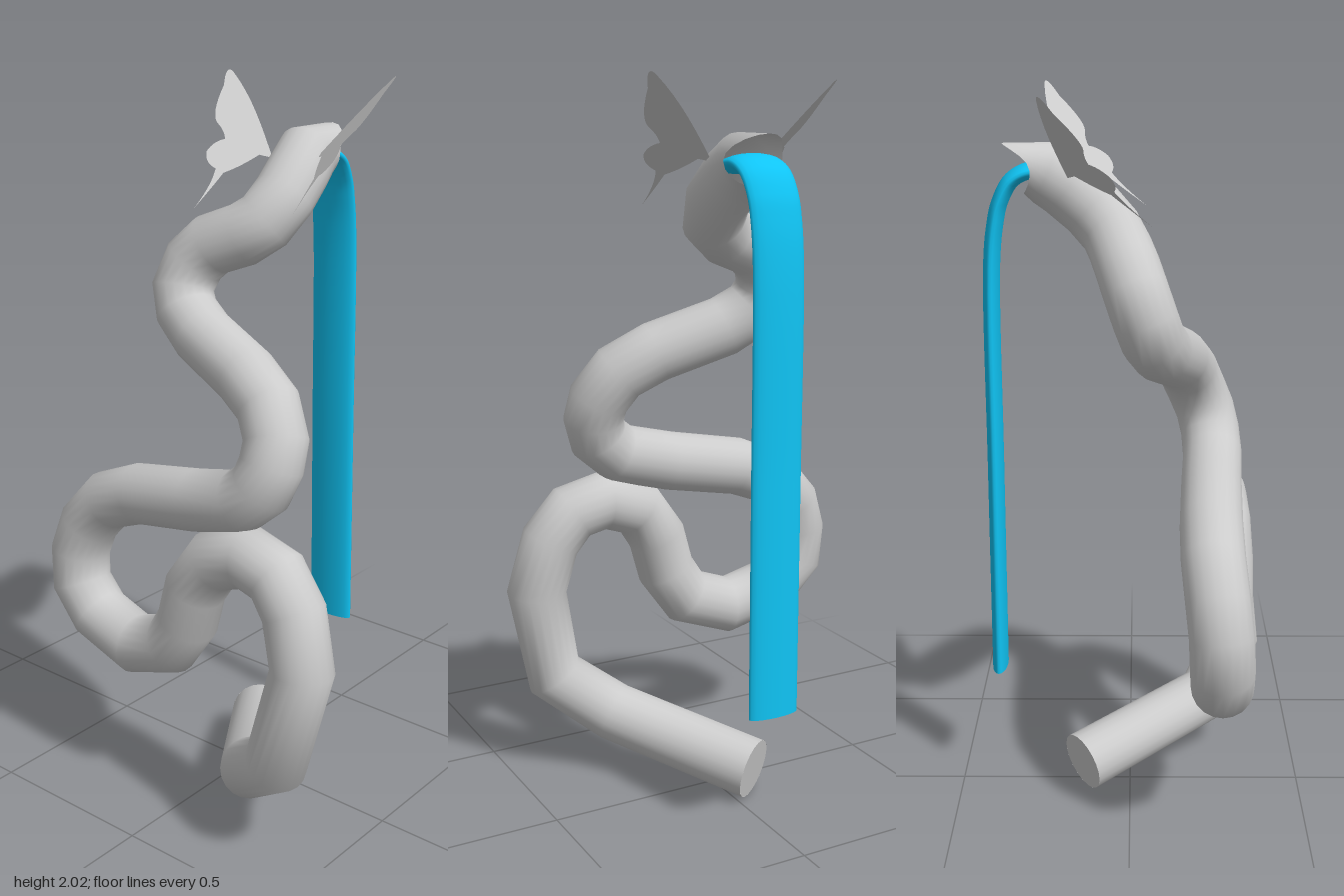
import * as THREE from 'three';
import { ParametricGeometry } from 'three/addons/geometries/ParametricGeometry.js';

const V = (x, y, z) => new THREE.Vector3(x, y, z);
const RADIUS = 0.086;

// Curve whose rings fall exactly on the control points
class RingCurve extends THREE.CatmullRomCurve3 {
  getPointAt(u, target) { return this.getPoint(u, target); }
  getTangentAt(u, target) { return this.getTangent(u, target); }
}

// Winding body, from tail tip to mouth
const bodyPath = [
  V(-0.055, 0.09, -0.14), V(0.21, 0.18, 0.235), V(0.365, 0.3, 0.32), V(0.425, 0.58, 0.29),
  V(0.385, 0.73, 0.275), V(0.32, 0.81, 0.265), V(0.22, 0.835, 0.26), V(0.11, 0.795, 0.265),
  V(0.045, 0.7, 0.27), V(0.015, 0.59, 0.27), V(-0.05, 0.495, 0.265), V(-0.19, 0.445, 0.26),
  V(-0.35, 0.49, 0.25), V(-0.425, 0.57, 0.245), V(-0.43, 0.67, 0.24), V(-0.4, 0.76, 0.23),
  V(-0.325, 0.845, 0.22), V(-0.2, 0.895, 0.22), V(0.02, 0.935, 0.23), V(0.18, 0.975, 0.24),
  V(0.245, 1.03, 0.235), V(0.265, 1.09, 0.22), V(0.26, 1.15, 0.195), V(0.21, 1.225, 0.165),
  V(0.11, 1.28, 0.135), V(-0.08, 1.345, 0.085), V(-0.16, 1.395, 0.06), V(-0.19, 1.455, 0.04),
  V(-0.17, 1.525, 0.015), V(-0.12, 1.575, -0.005), V(-0.03, 1.61, -0.025), V(0.025, 1.65, -0.05),
  V(0.045, 1.71, -0.105), V(0.04, 1.77, -0.175), V(0.03, 1.805, -0.225), V(0.03, 1.815, -0.265),
];

function bodyGeometry() {
  const rows = bodyPath.length - 1, sides = 20;
  const geo = new THREE.TubeGeometry(new RingCurve(bodyPath), rows, RADIUS, sides);
  const p = geo.attributes.position;
  // Open the last ring into a mouth with a longer upper lip
  for (let i = rows * (sides + 1); i < p.count; i++) {
    const t = (p.getY(i) - 1.815) / RADIUS;
    p.setZ(i, -0.26 - (t > 0 ? 0.085 : 0.025) * t * t);
    p.setY(i, 1.815 + t * 0.068);
  }
  return geo;
}

// Hanging ribbon tongue: flat oval section swept along a drooping path
function tongueGeometry() {
  const path = new THREE.CatmullRomCurve3([
    V(0.028, 1.8, -0.19), V(0.028, 1.81, -0.265), V(0.026, 1.785, -0.315), V(0.023, 1.73, -0.347),
    V(0.022, 1.67, -0.362), V(0.022, 1.56, -0.374), V(0.026, 1, -0.379), V(0.031, 0.37, -0.383),
  ]);
  return new ParametricGeometry((u, v, target) => {
    const a = u * Math.PI * 2;
    const c = path.getPoint(v), t = path.getTangent(v);
    const off = 0.022 * Math.sin(a);
    target.set(c.x + 0.074 * Math.cos(a), c.y - t.z * off, c.z + t.y * off);
  }, 20, 42);
}

// Butterfly wing: outline in x and z, lifted onto a slanting plane
function wingGeometry() {
  const s = new THREE.Shape();
  s.moveTo(0.07, -0.175);
  s.bezierCurveTo(0.13, -0.205, 0.19, -0.235, 0.26, -0.24);
  s.quadraticCurveTo(0.288, -0.24, 0.262, -0.2);
  s.quadraticCurveTo(0.25, -0.13, 0.225, -0.127);
  s.quadraticCurveTo(0.2, -0.128, 0.188, -0.116);
  s.quadraticCurveTo(0.208, -0.09, 0.208, -0.062);
  s.quadraticCurveTo(0.198, -0.04, 0.168, -0.052);
  s.quadraticCurveTo(0.154, -0.02, 0.159, 0.05);
  s.quadraticCurveTo(0.15, -0.02, 0.147, -0.06);
  s.quadraticCurveTo(0.122, -0.1, 0.1, -0.155);
  s.closePath();
  const geo = new THREE.ShapeGeometry(s, 8);
  const p = geo.attributes.position;
  for (let i = 0; i < p.count; i++) {
    const x = p.getX(i), z = p.getY(i);
    p.setXYZ(i, x, 1.83 + 0.82 * (x - 0.09) - 0.845 * (z + 0.18), z);
  }
  geo.computeVertexNormals();
  return geo;
}

export function createModel() {
  const group = new THREE.Group();
  const grey = new THREE.MeshStandardMaterial({ color: 0xcccccc, side: THREE.DoubleSide });
  const blue = new THREE.MeshStandardMaterial({ color: 0x10c4f4, side: THREE.DoubleSide });
  const add = (name, geo, mat) => {
    const mesh = new THREE.Mesh(geo, mat);
    mesh.name = name;
    group.add(mesh);
    return mesh;
  };

  add('body', bodyGeometry(), grey);

  // Flat end of the tail
  const cap = add('tailEnd', new THREE.CircleGeometry(RADIUS, 20), grey);
  const dir = new RingCurve(bodyPath).getTangent(0).negate();
  cap.quaternion.setFromUnitVectors(V(0, 0, 1), dir);
  cap.position.copy(bodyPath[0]);

  add('tongue', tongueGeometry(), blue);

  // Wings mirrored about the middle of the head
  const wing = wingGeometry();
  add('leftWing', wing, grey).position.x = 0.03;
  const right = add('rightWing', wing, grey);
  right.scale.x = -1;
  right.position.set(0.03, -0.012, 0.012);

  return group;
}
